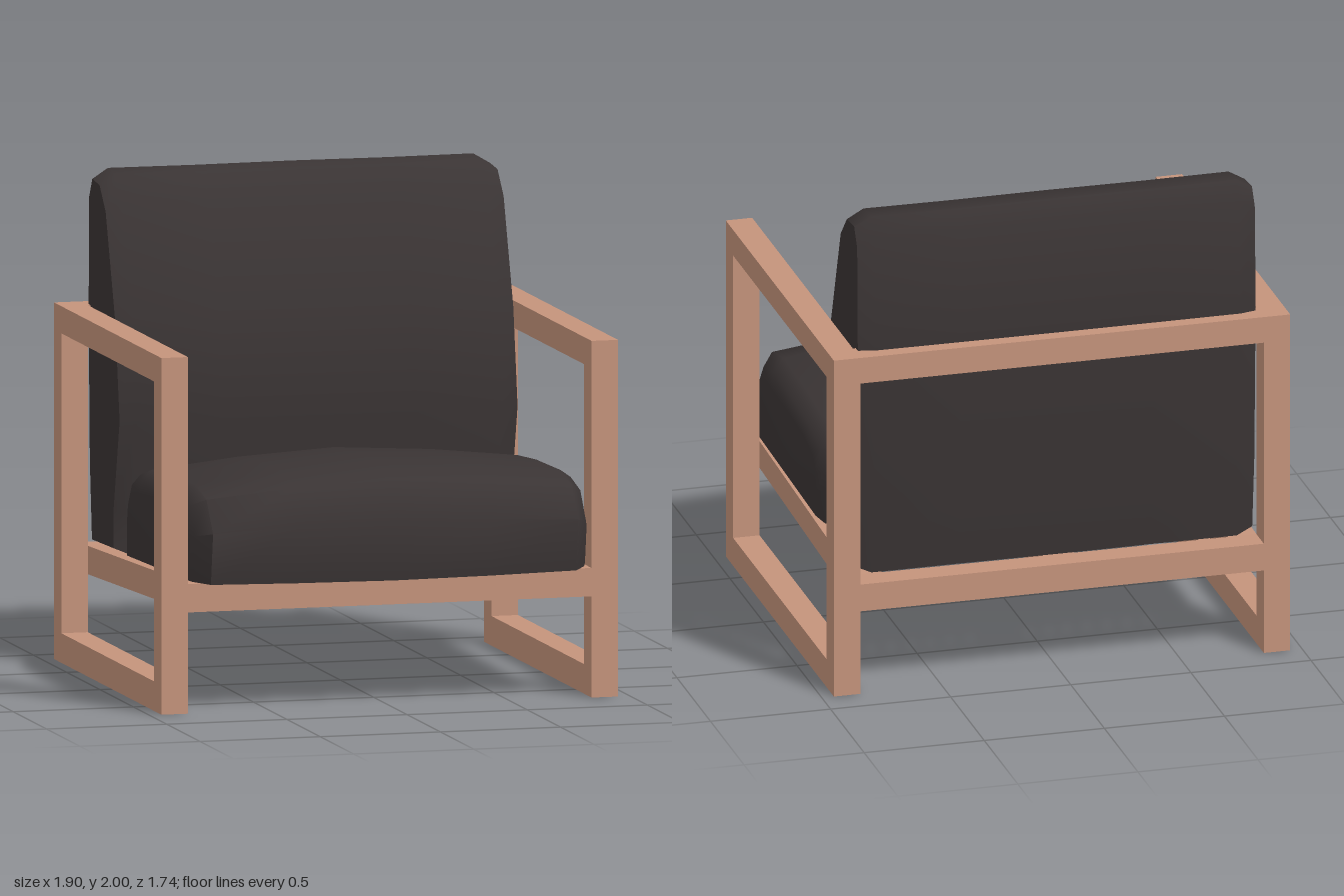
import * as THREE from 'three';
import { toCreasedNormals } from 'three/addons/utils/BufferGeometryUtils.js';

const wood = new THREE.MeshStandardMaterial({ color: 0xc4937b });
wood.name = 'wood';
const leather = new THREE.MeshStandardMaterial({ color: 0x3a3434 });
leather.name = 'dark leather';

// Timber given by its extents on each axis
function timber(name, [x0, x1], [y0, y1], [z0, z1], slope = 0) {
  const g = new THREE.BoxGeometry(x1 - x0, y1 - y0, z1 - z0);
  const p = g.attributes.position;
  for (let i = 0; i < p.count; i++) p.setY(i, p.getY(i) + slope * p.getZ(i));
  g.computeVertexNormals();
  const m = new THREE.Mesh(g, wood);
  m.name = name;
  m.position.set((x0 + x1) / 2, (y0 + y1) / 2, (z0 + z1) / 2);
  return m;
}

// Cushion: a side profile of [z, y] points, repeated across x and
// scaled about a pivot; half sections [x, zScale, yScale] are mirrored
function cushion(name, profile, [pz, py], half) {
  const sections = [
    ...half.slice(1).reverse().map(([x, a, b]) => [-x, a, b]),
    ...half,
  ];
  const n = profile.length;
  const pos = [];
  const index = [];
  for (const [x, sz, sy] of sections)
    for (const [z, y] of profile) pos.push(x, py + (y - py) * sy, pz + (z - pz) * sz);
  for (let i = 0; i < sections.length - 1; i++) {
    for (let j = 0; j < n; j++) {
      const k = (j + 1) % n;
      const a = i * n + j, b = a + n, c = i * n + k, d = c + n;
      index.push(a, b, d, a, d, c);
    }
  }
  // Side panels
  const last = (sections.length - 1) * n;
  const left = sections.length * n;
  const endX = half[half.length - 1][0];
  pos.push(endX, py, pz, -endX, py, pz);
  for (let j = 0; j < n; j++) {
    const k = (j + 1) % n;
    index.push(left, last + k, last + j, left + 1, j, k);
  }
  const g = new THREE.BufferGeometry();
  g.setAttribute('position', new THREE.Float32BufferAttribute(pos, 3));
  g.setIndex(index);
  const m = new THREE.Mesh(toCreasedNormals(g, 0.9), leather);
  m.name = name;
  return m;
}

export function createModel() {
  const chair = new THREE.Group();
  chair.name = 'armchair';

  const front = [0.63, 0.74], back = [-0.87, -0.76], between = [-0.76, 0.63];
  const inner = [-0.84, 0.84];

  // Rectangular side frames
  for (const [side, x] of [['left', [0.84, 0.95]], ['right', [-0.95, -0.84]]]) {
    const frame = new THREE.Group();
    frame.name = side + 'SideFrame';
    frame.add(
      timber('frontLeg', x, [0, 1.445], front),
      timber('backLeg', x, [0, 1.445], back),
      timber('armrest', x, [1.335, 1.445], between),
      timber('floorRail', x, [0, 0.12], between),
    );
    chair.add(frame);
  }

  // Cross rails
  chair.add(
    timber('frontSeatRail', inner, [0.41, 0.525], front),
    timber('backSeatRail', inner, [0.355, 0.47], back),
    timber('backRestRail', inner, [1.335, 1.445], back),
  );

  // Sloping rails under the seat
  for (const [name, x] of [
    ['leftSeatRail', [0.72, 0.84]],
    ['middleSeatRail', [-0.08, 0.05]],
    ['rightSeatRail', [-0.84, -0.72]],
  ]) chair.add(timber(name, x, [0.3825, 0.4975], between, 0.055 / 1.39));

  chair.add(cushion('seatCushion', [
    [0.83, 0.52], [0.865, 0.77], [0.76, 0.92], [0.58, 0.965], [0.2, 0.955],
    [-0.1, 0.93], [-0.29, 0.875], [-0.355, 0.77], [-0.37, 0.66], [-0.365, 0.48],
  ], [0.24, 0.56], [
    [0, 1, 1], [0.4, 0.98, 0.94], [0.76, 0.945, 0.84], [0.815, 0.81, 0.75], [0.835, 0.71, 0.62],
  ]));

  chair.add(cushion('backCushion', [
    [-0.4, 0.48], [-0.4, 0.64], [-0.3, 1.03], [-0.37, 1.44], [-0.53, 1.89],
    [-0.63, 1.99], [-0.75, 2], [-0.8, 1.92], [-0.81, 1.45], [-0.79, 0.8], [-0.755, 0.47],
  ], [-0.59, 1.1], [
    [0, 1, 1], [0.4, 0.995, 0.998], [0.76, 0.985, 1], [0.828, 0.91, 0.955],
  ]));

  return chair;
}
